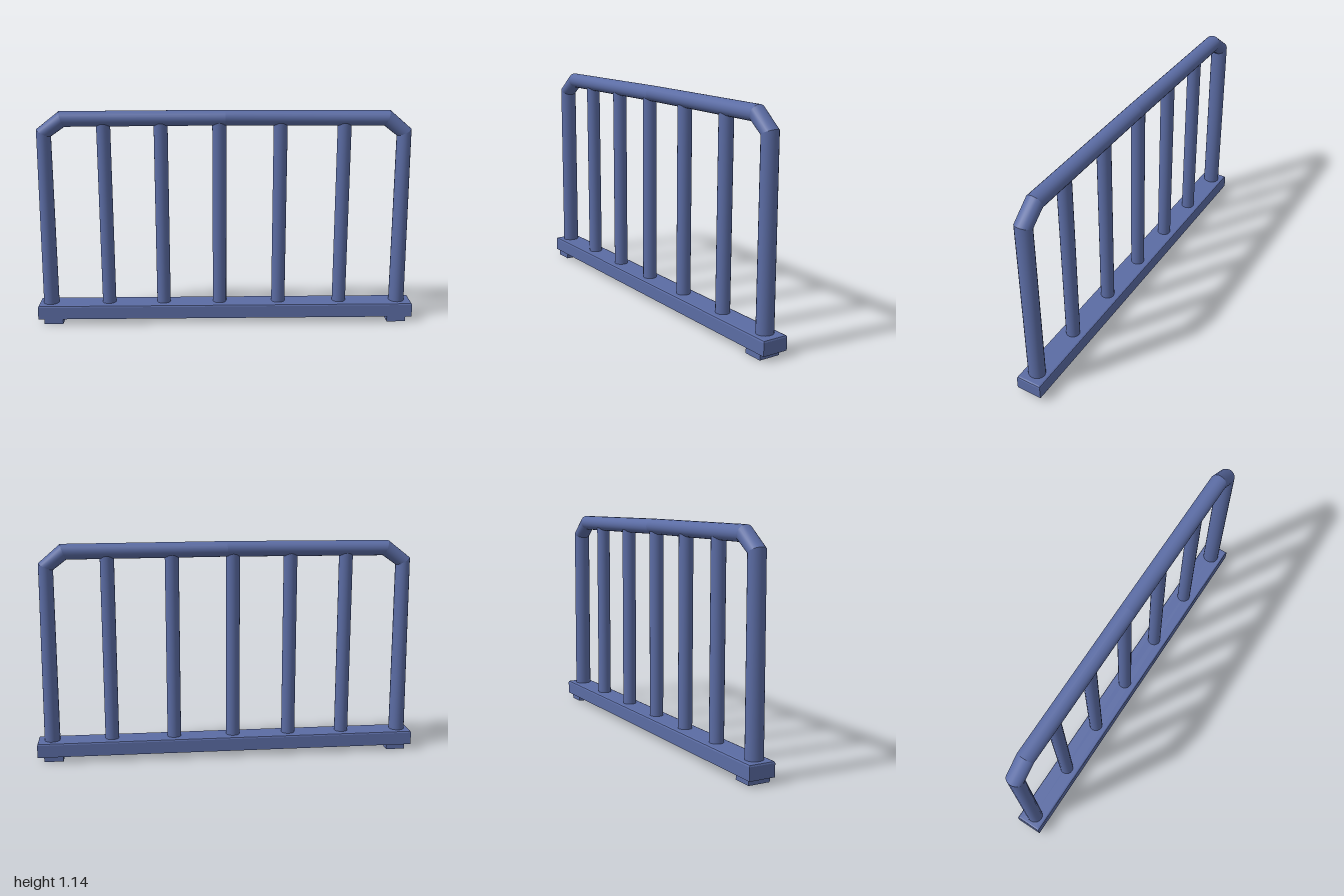
import * as THREE from 'three';

const blue = new THREE.MeshStandardMaterial({ color: 0x5b6ca4 });
blue.name = 'blue paint';

// Flat-faced rectangular shell lofted through [height, inset] rings
function rectShell(hx, hz, rings) {
  const corners = [[1, 1], [1, -1], [-1, -1], [-1, 1]];
  const point = ([y, inset], k) => {
    const [sx, sz] = corners[k % 4];
    return [sx * (hx - inset), y, sz * (hz - inset)];
  };
  const pos = [];
  for (let r = 0; r < rings.length - 1; r++) {
    for (let k = 0; k < 4; k++) {
      const a = point(rings[r], k), b = point(rings[r], k + 1);
      const c = point(rings[r + 1], k + 1), d = point(rings[r + 1], k);
      pos.push(...a, ...b, ...c, ...a, ...c, ...d);
    }
  }
  const geo = new THREE.BufferGeometry();
  geo.setAttribute('position', new THREE.Float32BufferAttribute(pos, 3));
  geo.computeVertexNormals();
  return geo;
}

// Straight tube piece between two mitred oval rings
function tubePiece(p, q, mp, mq, depth, sides = 20) {
  const pos = [], index = [];
  for (const [c, m] of [[p, mp], [q, mq]]) {
    for (let i = 0; i < sides; i++) {
      const t = (i / sides) * Math.PI * 2;
      pos.push(c.x + m.x * Math.cos(t), c.y + m.y * Math.cos(t), depth * Math.sin(t));
    }
  }
  for (let i = 0; i < sides; i++) {
    const j = (i + 1) % sides;
    index.push(i, j, j + sides, i, j + sides, i + sides);
  }
  const geo = new THREE.BufferGeometry();
  geo.setAttribute('position', new THREE.Float32BufferAttribute(pos, 3));
  geo.setIndex(index);
  geo.computeVertexNormals();
  return geo;
}

export function createModel() {
  const model = new THREE.Group();
  model.name = 'railing';
  const add = (name, geo, x = 0, y = 0, z = 0, parent = model) => {
    const mesh = new THREE.Mesh(geo, blue);
    mesh.name = name;
    mesh.position.set(x, y, z);
    parent.add(mesh);
    return mesh;
  };

  // Base channel, open underneath, with softened top edges
  const hz = 0.068;
  add('baseChannel', rectShell(1, hz, [
    [0.09, hz], [0.09, 0.012], [0.03, 0.012], [0.03, 0],
    [0.095, 0], [0.102, 0.003], [0.105, 0.01], [0.105, hz],
  ]));

  // Hollow feet
  for (const [name, x] of [['leftFoot', 0.918], ['rightFoot', -0.92]]) {
    add(name, rectShell(0.05, 0.057, [[0.09, 0.018], [0, 0.018], [0, 0], [0.09, 0]]), x, 0, 0.005);
  }

  // Bent outer frame: posts, mitred corners and slightly bowed top rail
  const path = [
    [-0.936, 0.095], [-0.93, 1.025], [-0.835, 1.096], [0, 1.1],
    [0.83, 1.096], [0.92, 1.022], [0.925, 0.095],
  ].map(([x, y]) => new THREE.Vector2(x, y));
  const half = [0.041, 0.037, 0.04, 0.04, 0.04, 0.037, 0.041];
  const normals = path.slice(1).map((q, i) => {
    const d = q.clone().sub(path[i]).normalize();
    return new THREE.Vector2(-d.y, d.x);
  });
  const mitres = path.map((_, i) => {
    const a = normals[Math.max(i - 1, 0)], b = normals[Math.min(i, normals.length - 1)];
    const m = a.clone().add(b).normalize();
    return m.multiplyScalar(half[i] / m.dot(a));
  });
  const frame = new THREE.Group();
  frame.name = 'outerFrame';
  model.add(frame);
  const names = ['rightPost', 'rightCorner', 'topRailRight', 'topRailLeft', 'leftCorner', 'leftPost'];
  names.forEach((name, i) => {
    add(name, tubePiece(path[i], path[i + 1], mitres[i], mitres[i + 1], 0.044), 0, 0, 0, frame);
  });

  // Upright bars, running down into the channel
  const bars = new THREE.Group();
  bars.name = 'bars';
  model.add(bars);
  const barGeo = new THREE.CylinderGeometry(0.036, 0.036, 1.045, 20);
  [-0.625, -0.332, -0.032, 0.283, 0.612].forEach((x, i) => {
    add(`bar${i + 1}`, barGeo, x, 0.035 + 1.045 / 2, 0, bars);
  });

  return model;
}
